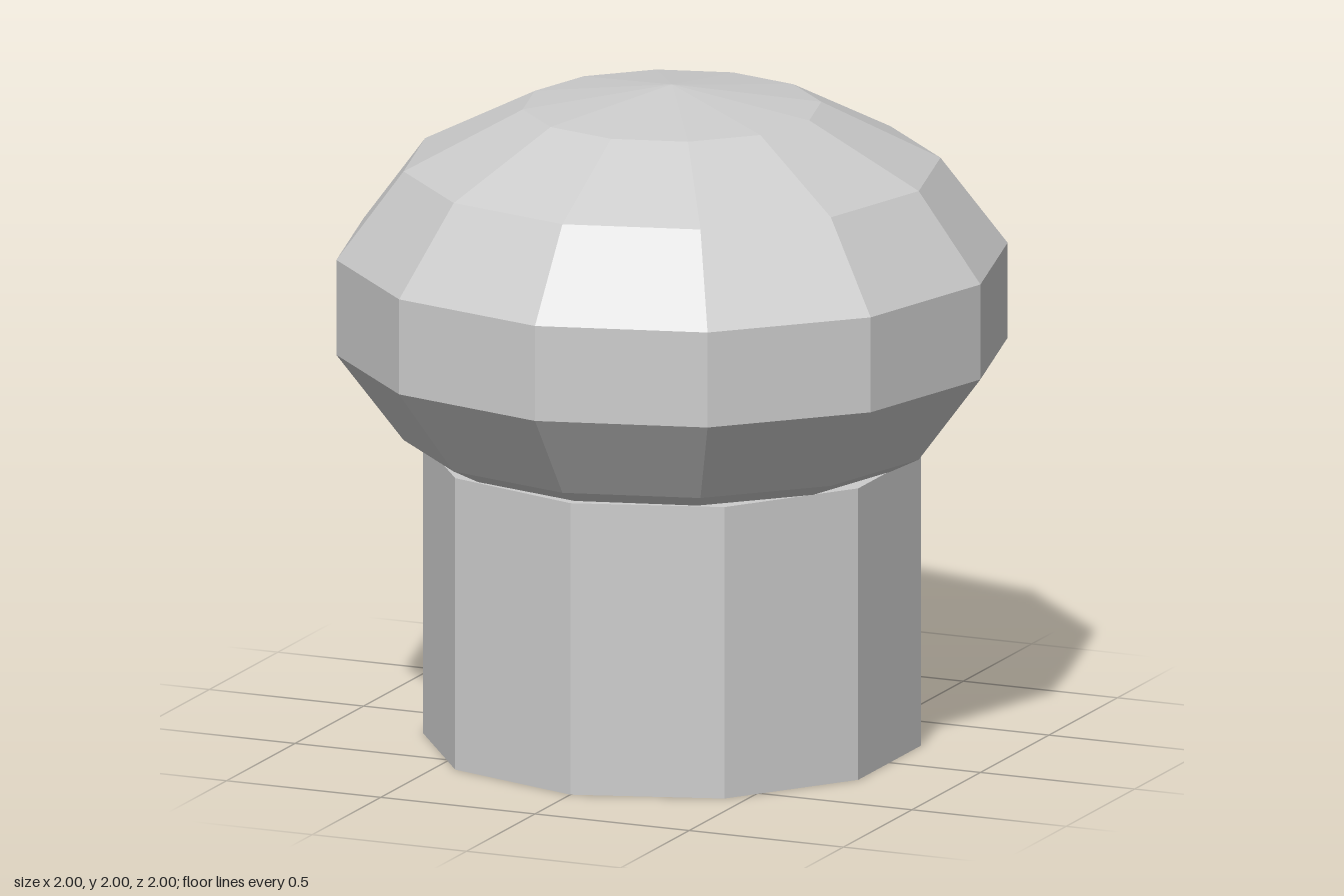
import * as THREE from 'three';

export function createModel() {
  const group = new THREE.Group();
  group.name = 'mushroom';
  const material = new THREE.MeshStandardMaterial({ color: 0xcccccc, flatShading: true });

  // Twelve-sided rounded cap: two flattened domes joined by a straight band
  const profile = [
    [0, 0.69], [0.445, 0.755], [0.8, 0.935], [1, 1.2],
    [1, 1.49], [0.8, 1.755], [0.445, 1.935], [0, 2],
  ].map(([r, y]) => new THREE.Vector2(r, y));
  const cap = new THREE.Mesh(new THREE.LatheGeometry(profile, 12), material);
  cap.name = 'cap';

  // Ten-sided straight stem, closed at both ends
  const height = 0.89;
  const stem = new THREE.Mesh(new THREE.CylinderGeometry(0.742, 0.742, height, 10), material);
  stem.position.y = height / 2;
  stem.name = 'stem';

  group.add(cap, stem);
  return group;
}
